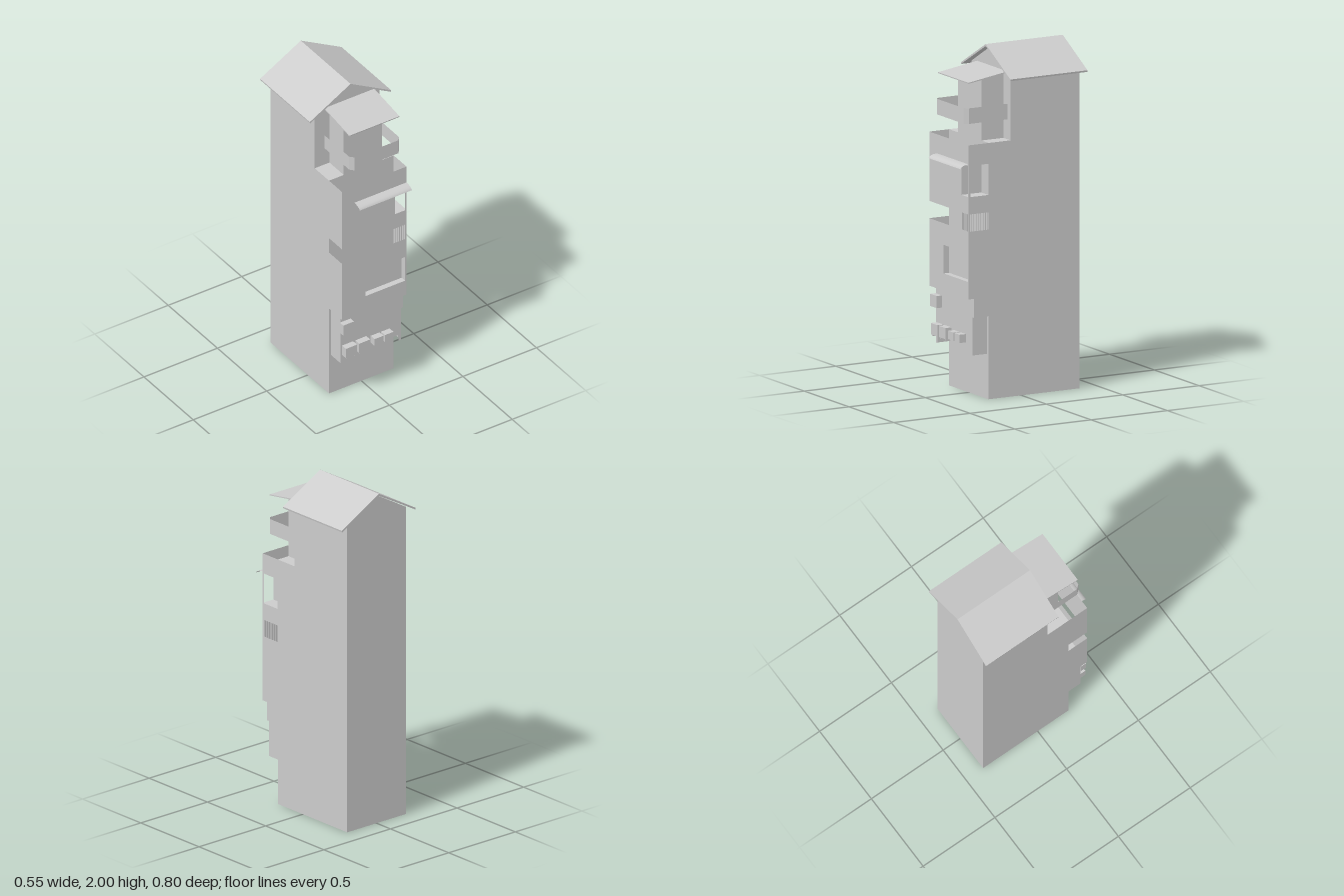
import * as THREE from 'three';

export function createModel() {
  const model = new THREE.Group();
  const mat = new THREE.MeshStandardMaterial({ color: 0xcccccc, side: THREE.DoubleSide, flatShading: true });
  const smooth = new THREE.MeshStandardMaterial({ color: 0xcccccc, side: THREE.DoubleSide });

  const add = (name, geo, parent = model, m = mat) => {
    const mesh = new THREE.Mesh(geo, m);
    mesh.name = name;
    parent.add(mesh);
    return mesh;
  };
  const group = (name) => {
    const g = new THREE.Group();
    g.name = name;
    model.add(g);
    return g;
  };
  const vecs = (pts) => pts.map(([x, y]) => new THREE.Vector2(x, y));
  const rect = (x0, x1, y0, y1) => [[x0, y0], [x1, y0], [x1, y1], [x0, y1]];
  const flat = (pts, holes = []) => {
    const s = new THREE.Shape(vecs(pts));
    holes.forEach((h) => s.holes.push(new THREE.Path(vecs(h))));
    return new THREE.ShapeGeometry(s);
  };
  // Sheets facing front (points are x, y), side (z, y) and up (x, z)
  const front = (name, z, pts, holes, parent) => add(name, flat(pts, holes).translate(0, 0, z), parent);
  const side = (name, x, pts, holes, parent) =>
    add(name, flat(pts, holes).rotateY(-Math.PI / 2).translate(x, 0, 0), parent);
  const level = (name, y, x0, x1, z0, z1, parent) =>
    add(name, flat(rect(x0, x1, z0, z1)).rotateX(Math.PI / 2).translate(0, y, 0), parent);
  const box = (name, x0, x1, y0, y1, z0, z1, parent) =>
    add(name, new THREE.BoxGeometry(x1 - x0, y1 - y0, z1 - z0)
      .translate((x0 + x1) / 2, (y0 + y1) / 2, (z0 + z1) / 2), parent);

  // Tower shell, open underneath, with its front stepped back at the top
  const W = 0.22, F = 0.215, B = -0.38, S = 0.07, E = 1.86, L = 1.48, P = 0.345;
  const tower = group('tower');
  const gable = (y0) => [[-W, y0], [W, y0], [W, E], [0, 1.985], [-W, E]];
  front('backWall', B, gable(0), [], tower);
  front('frontWall', F, rect(-W, W, 0, L), [], tower);
  front('upperFrontWall', S, gable(L), [], tower);
  level('ledge', L, -W, W, S, F, tower);
  for (const x of [-W, W])
    side('sideWall', x, [[B, 0], [F, 0], [F, L], [S, L], [S, E], [B, E]], [], tower);

  // Thin gable roof
  const roof = new THREE.Shape(vecs([[-0.277, 1.845], [0, 2], [0.277, 1.845], [0.275, 1.835], [0, 1.988], [-0.275, 1.835]]));
  add('roof', new THREE.ExtrudeGeometry(roof, { depth: 0.505, bevelEnabled: false }).translate(0, 0, -0.4));

  // Turret with a sloping lid
  const turret = group('turret');
  front('turretFront', F, rect(-0.12, 0.14, L, 1.845), [], turret);
  for (const x of [-0.12, 0.14])
    side('turretSide', x, [[S, L], [F, L], [F, 1.845], [S, 1.868]], [], turret);
  const lid = new THREE.Shape(vecs([[S, 1.865], [0.325, 1.827], [0.326, 1.833], [S, 1.872]]));
  add('turretRoof', new THREE.ExtrudeGeometry(lid, { depth: 0.34, bevelEnabled: false })
    .rotateY(-Math.PI / 2).translate(0.185, 0, 0), turret);

  // Railing band with chamfered corners, running round the turret
  const path = [[-0.155, S], [-0.155, 0.322], [-0.135, P], [0.165, P], [0.185, 0.322], [0.185, S]];
  const pos = [];
  for (let i = 0; i < path.length - 1; i++) {
    const [ax, az] = path[i], [bx, bz] = path[i + 1], y0 = 1.595, y1 = 1.685;
    pos.push(ax, y0, az, bx, y0, bz, bx, y1, bz, ax, y0, az, bx, y1, bz, ax, y1, az);
  }
  const band = new THREE.BufferGeometry();
  band.setAttribute('position', new THREE.Float32BufferAttribute(pos, 3));
  band.computeVertexNormals();
  add('turretRailing', band);

  // Upper bay: open-topped skin with a corner window
  const upper = group('upperBay');
  front('upperBayFront', P, rect(-W, W, 1.08, L), [rect(0.14, 0.21, 1.18, 1.36)], upper);
  side('upperBayLeft', W, rect(F, P, 1.08, L), [rect(F + 0.001, 0.332, 1.18, 1.36)], upper);
  side('upperBayRight', -W, rect(F, P, 1.08, L), [], upper);
  side('cornerWindowJamb', 0.14, rect(F, P, 1.18, 1.36), [], upper);
  for (const y of [1.18, 1.36]) level('cornerWindowSill', y, 0.14, W, F, P, upper);

  // Curved awning over the corner window
  const awning = new THREE.Shape();
  awning.moveTo(P, 1.37);
  awning.quadraticCurveTo(0.39, 1.368, 0.4, 1.348);
  const curve = awning.getPoints(8);
  const sheet = new THREE.PlaneGeometry(0.355, 1, 1, curve.length - 1);
  const p = sheet.attributes.position;
  for (let i = 0; i < p.count; i++) {
    const c = curve[Math.floor(i / 2)];
    p.setXYZ(i, i % 2 ? W : -0.135, c.y, c.x);
  }
  sheet.computeVertexNormals();
  add('awning', sheet, model, smooth);

  // Corner post and slats across the open gap between the bays
  const slats = group('slats');
  box('cornerPost', 0.21, W, 0.98, 1.08, 0.335, P, slats);
  for (let i = 0; i < 5; i++) {
    const x = 0.14 + i * 0.0145;
    box('frontSlat', x, x + 0.005, 0.98, 1.08, 0.33, P, slats);
  }
  for (let i = 0; i < 8; i++) {
    const z = F + 0.002 + i * 0.0155;
    box('sideSlat', 0.208, W, 0.98, 1.08, z, z + 0.004, slats);
  }

  // Lower bay with a shallow recessed window
  const lower = group('lowerBay');
  const [wx0, wx1, wy0, wy1, wz] = [-0.06, 0.21, 0.69, 0.855, 0.31];
  front('lowerBayFront', P, rect(-W, W, 0.59, 0.98), [rect(wx0, wx1, wy0, wy1)], lower);
  for (const x of [-W, W]) side('lowerBaySide', x, rect(F, P, 0.59, 0.98), [], lower);
  level('lowerBayUnderside', 0.59, -W, W, F, P, lower);
  front('windowPane', wz, rect(wx0, wx1, wy0, wy1), [], lower);
  for (const x of [wx0, wx1]) side('windowJamb', x, rect(wz, P, wy0, wy1), [], lower);
  for (const y of [wy0, wy1]) level('windowSill', y, wx0, wx1, wz, P, lower);

  // Skirt under the bays, with two short legs
  const skirt = group('skirt');
  const K = 0.31;
  front('skirtFront', K, [[-0.205, 0.26], [-0.19, 0.26], [-0.185, 0.3], [0.185, 0.3], [0.19, 0.26],
    [0.205, 0.26], [0.205, 0.48], [W, 0.48], [W, 0.59], [-0.205, 0.59]], [], skirt);
  side('skirtRight', -0.205, rect(F, K, 0.26, 0.59), [], skirt);
  side('skirtLeft', 0.205, rect(F, K, 0.26, 0.48), [], skirt);
  side('skirtUpperLeft', W, rect(F, K, 0.48, 0.59), [], skirt);
  level('skirtStep', 0.48, 0.205, W, F, K, skirt);

  // Wall-mounted units, the lower row on small brackets
  const units = group('wallUnits');
  box('upperUnit', -0.21, -0.137, 0.475, 0.545, K, P, units);
  for (const [x0, x1, y0, y1] of [[-0.195, -0.12, 0.315, 0.38], [-0.105, -0.03, 0.315, 0.38],
    [0, 0.06, 0.322, 0.37], [0.07, 0.128, 0.322, 0.37]]) {
    box('wallUnit', x0, x1, y0, y1, K, 0.35, units);
    if (x0 < 0)
      for (const x of [x0 + 0.008, x1 - 0.014]) box('bracket', x, x + 0.006, y0 - 0.01, y0, K, 0.345, units);
  }
  return model;
}
